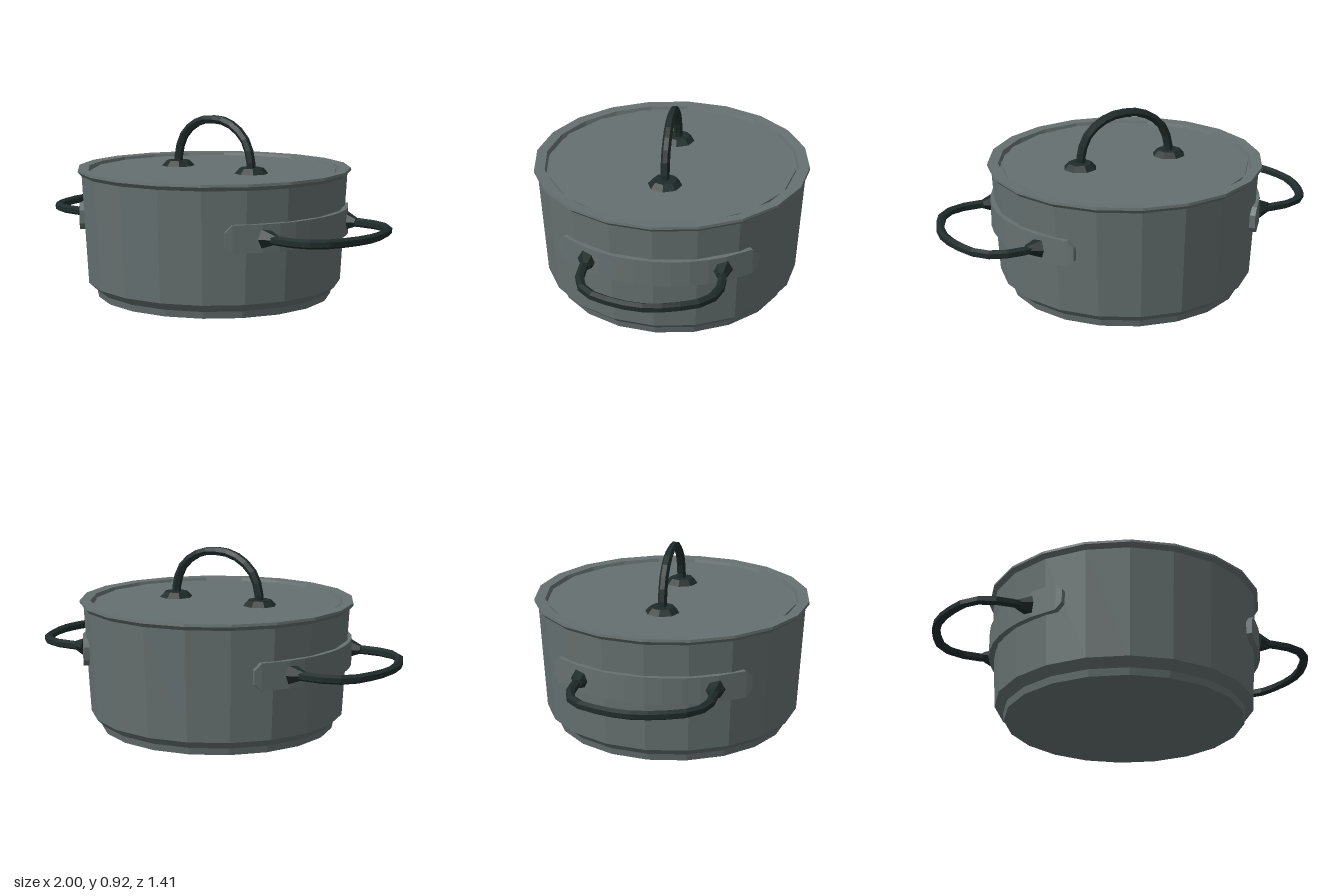
import * as THREE from 'three';

const steel = new THREE.MeshStandardMaterial({ name: 'greySteel', color: 0x667070, flatShading: true });
const iron = new THREE.MeshStandardMaterial({ name: 'darkIron', color: 0x1f2c2b, flatShading: true });

function add(parent, name, geometry, material, x = 0, y = 0, z = 0) {
  const mesh = new THREE.Mesh(geometry, material);
  mesh.name = name;
  mesh.position.set(x, y, z);
  parent.add(mesh);
  return mesh;
}

// Faceted six-sided bar through a few points
function bar(points, radius, segments) {
  const curve = new THREE.CatmullRomCurve3(points.map(p => new THREE.Vector3(...p)));
  return new THREE.TubeGeometry(curve, segments, radius, 6, false);
}

// Flat strip with clipped corners, bent around the pot wall
function bentPlate() {
  const n = 12, half = 0.78;
  const geo = new THREE.BoxGeometry(half * 2, 0.135, 0.03, n, 1, 1);
  const pos = geo.attributes.position;
  for (let i = 0; i < pos.count; i++) {
    let a = pos.getX(i);
    let y = pos.getY(i);
    const step = Math.round(Math.abs(a) / (half * 2 / n));
    if (step === n / 2) y *= 0.5;
    if (step === n / 2 - 1) a = Math.sign(a) * 0.73;
    const r = 0.68 + pos.getZ(i);
    pos.setXYZ(i, r * Math.cos(a), y, -r * Math.sin(a));
  }
  geo.computeVertexNormals();
  return geo;
}

export function createModel() {
  const pot = new THREE.Group();
  pot.name = 'cookingPot';

  // Body with stepped foot and flared rim
  const profile = [
    [0, 0.005], [0.605, 0.005], [0.612, 0.04], [0.655, 0.08], [0.685, 0.63],
    [0.705, 0.65], [0.703, 0.663], [0.65, 0.66], [0.642, 0.635], [0.6, 0.63],
  ].map(([r, y]) => new THREE.Vector2(r, y));
  add(pot, 'body', new THREE.LatheGeometry(profile, 20), steel);

  // Lid set inside the rim
  add(pot, 'lid', new THREE.CylinderGeometry(0.635, 0.635, 0.03, 16), steel, 0, 0.632, 0);

  // Arched lid handle on two round feet
  const lidHandle = new THREE.Group();
  lidHandle.name = 'lidHandle';
  pot.add(lidHandle);
  add(lidHandle, 'lidArch', bar([
    [-0.245, 0.64, 0], [-0.243, 0.72, 0], [-0.2, 0.82, 0], [-0.1, 0.89, 0], [0, 0.905, 0],
    [0.1, 0.89, 0], [0.2, 0.82, 0], [0.243, 0.72, 0], [0.245, 0.64, 0],
  ], 0.023, 14), iron);
  for (const s of [-1, 1]) {
    add(lidHandle, 'lidHandleFoot', new THREE.CylinderGeometry(0.06, 0.088, 0.03, 8), iron, s * 0.25, 0.66, 0);
  }

  // Side handles, the second one turned half a circle
  for (const side of [0, 1]) {
    const handle = new THREE.Group();
    handle.name = side ? 'rightHandle' : 'leftHandle';
    handle.rotation.y = side * Math.PI;
    pot.add(handle);
    add(handle, 'handlePlate', bentPlate(), steel, 0, 0.403, 0);
    add(handle, 'handleLoop', bar([
      [0.6, 0.4, -0.325], [0.76, 0.4, -0.335], [0.88, 0.4, -0.285], [0.95, 0.4, -0.15], [0.978, 0.4, 0],
      [0.95, 0.4, 0.15], [0.88, 0.4, 0.285], [0.76, 0.4, 0.335], [0.6, 0.4, 0.325],
    ], 0.023, 14), iron);
    for (const s of [-1, 1]) {
      const foot = add(handle, 'handleFoot', new THREE.CylinderGeometry(0.022, 0.052, 0.07, 6), iron, 0.635, 0.402, s * 0.325);
      foot.rotation.z = -Math.PI / 2;
    }
  }
  return pot;
}
